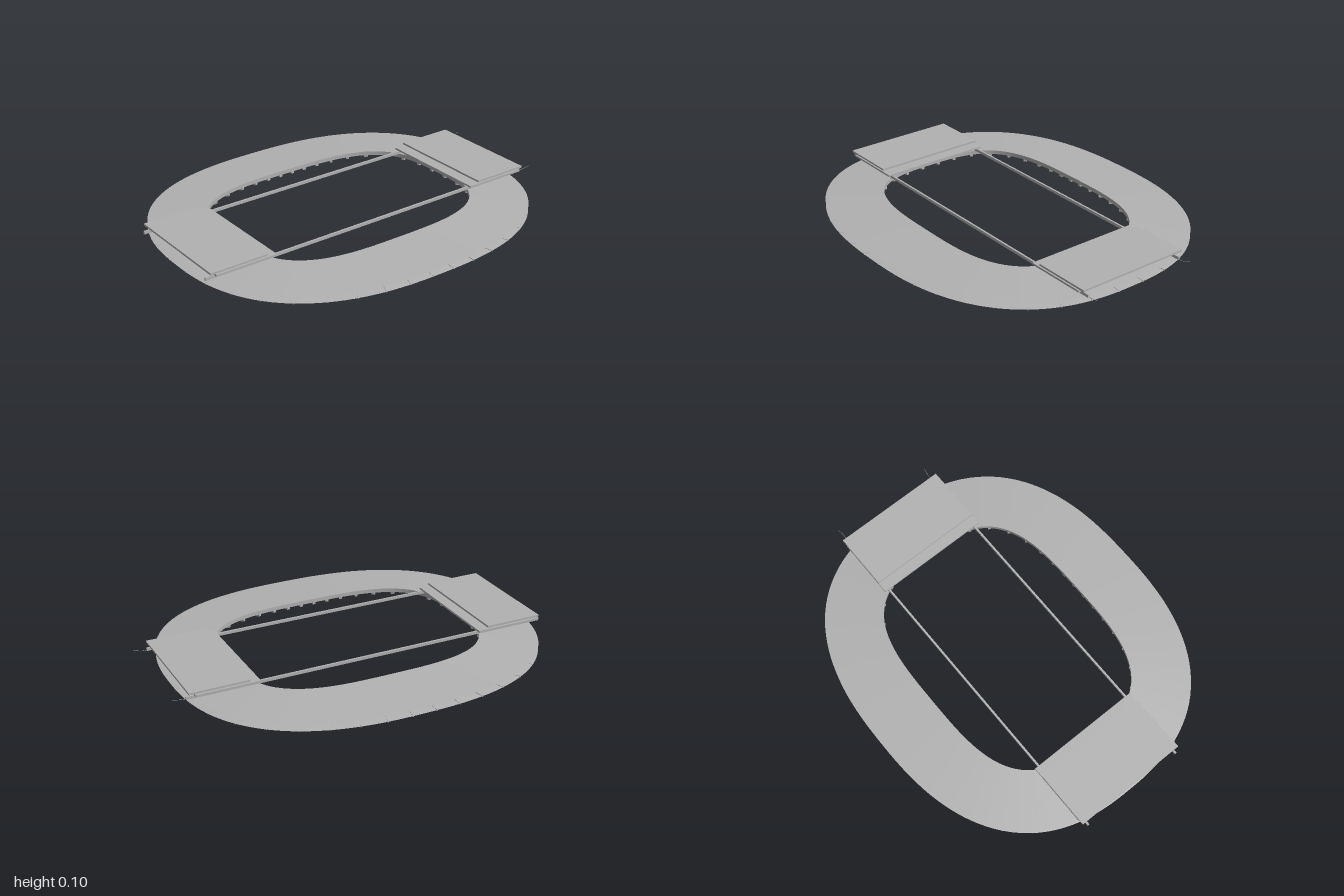
import * as THREE from 'three';

const SEGMENTS = 144, RIBS = 40, CENTRE_Z = 0.035;
const OUTER = { a: 0.8, b: 0.952, n: 2.5 };
const INNER = { a: 0.475, b: 0.645, n: 3.2 };

// Point on a rounded oval at a given polar angle and height
function ovalPoint({ a, b, n }, angle, y) {
  const c = Math.cos(angle), s = Math.sin(angle);
  const r = Math.pow(Math.abs(c / a) ** n + Math.abs(s / b) ** n, -1 / n);
  return new THREE.Vector3(r * c, y, r * s + CENTRE_Z);
}

// Closed band between two ovals; the front faces up when going from outer to inner
function bandGeometry(ovalA, yA, ovalB, yB) {
  const positions = [], index = [];
  for (let i = 0; i <= SEGMENTS; i++) {
    const t = (i / SEGMENTS) * Math.PI * 2;
    positions.push(...ovalPoint(ovalA, t, yA).toArray(), ...ovalPoint(ovalB, t, yB).toArray());
    if (i < SEGMENTS) {
      const k = i * 2;
      index.push(k, k + 1, k + 2, k + 1, k + 3, k + 2);
    }
  }
  const g = new THREE.BufferGeometry();
  g.setAttribute('position', new THREE.Float32BufferAttribute(positions, 3));
  g.setIndex(index);
  g.computeVertexNormals();
  return g;
}

export function createModel() {
  const model = new THREE.Group();
  model.name = 'stadiumRoof';
  const grey = new THREE.MeshStandardMaterial({ color: 0xb2b2b2, side: THREE.DoubleSide });
  grey.name = 'roof grey';

  const add = (name, geometry, parent = model) => {
    const mesh = new THREE.Mesh(geometry, grey);
    mesh.name = name;
    parent.add(mesh);
    return mesh;
  };
  const box = (name, x, y0, y1, z0, z1, width, parent) => {
    const mesh = add(name, new THREE.BoxGeometry(width, y1 - y0, z1 - z0), parent);
    mesh.position.set(x, (y0 + y1) / 2, (z0 + z1) / 2);
    return mesh;
  };

  // Oval roof: two sloping skins joined by an inner fascia, open at the outer edge
  add('upperRoofSkin', bandGeometry(OUTER, 0.037, INNER, 0.055));
  add('lowerRoofSkin', bandGeometry(OUTER, 0.004, INNER, 0.034));
  add('innerFascia', bandGeometry(INNER, 0.034, INNER, 0.055));

  // Radial ribs under the roof, each with a bracket at the inner edge
  const ribs = new THREE.Group();
  ribs.name = 'radialRibs';
  model.add(ribs);
  for (let i = 0; i < RIBS; i++) {
    const angle = ((i + 0.5) / RIBS) * Math.PI * 2;
    const inner = ovalPoint(INNER, angle, 0.032), outer = ovalPoint(OUTER, angle, 0.003);
    const rib = add('rib', new THREE.BoxGeometry(0.005, 0.006, inner.distanceTo(outer)), ribs);
    rib.position.copy(inner).lerp(outer, 0.5);
    rib.lookAt(outer);
    const bracket = add('ribBracket', new THREE.BoxGeometry(0.016, 0.012, 0.02), ribs);
    bracket.position.copy(inner).lerp(outer, 0.03);
    bracket.position.y -= 0.003;
    bracket.rotation.y = rib.rotation.y;
    bracket.quaternion.copy(rib.quaternion);
  }

  // Raised two-layer canopies over both ends
  const canopies = [
    { name: 'frontCanopy', top: [0.68, 0.985], low: [0.628, 0.955] },
    { name: 'backCanopy', top: [-0.928, -0.623], low: [-0.895, -0.57] },
  ];
  for (const { name, top, low } of canopies) {
    const canopy = new THREE.Group();
    canopy.name = name;
    model.add(canopy);
    box('topSlab', 0, 0.087, 0.097, ...top, 0.61, canopy);
    box('lowerSlab', 0, 0.07, 0.08, ...low, 0.61, canopy);
    for (const x of [-0.28, -0.09, 0.09, 0.28]) {
      for (const f of [0.25, 0.75]) {
        const z = top[0] + (top[1] - top[0]) * f;
        box('spacer', x, 0.08, 0.087, z - 0.005, z + 0.005, 0.01, canopy);
      }
    }
  }

  // Long beams across the opening, with a thin loose cable at the back end
  for (const side of [-1, 1]) {
    box('longBeam', side * 0.28, 0.055, 0.07, -0.935, 1, 0.01);
    const path = new THREE.CatmullRomCurve3([
      new THREE.Vector3(side * 0.28, 0.058, -0.93),
      new THREE.Vector3(side * 0.278, 0.06, -0.965),
      new THREE.Vector3(side * 0.284, 0.07, -1),
    ]);
    add('endCable', new THREE.TubeGeometry(path, 8, 0.001, 5));
  }
  return model;
}
